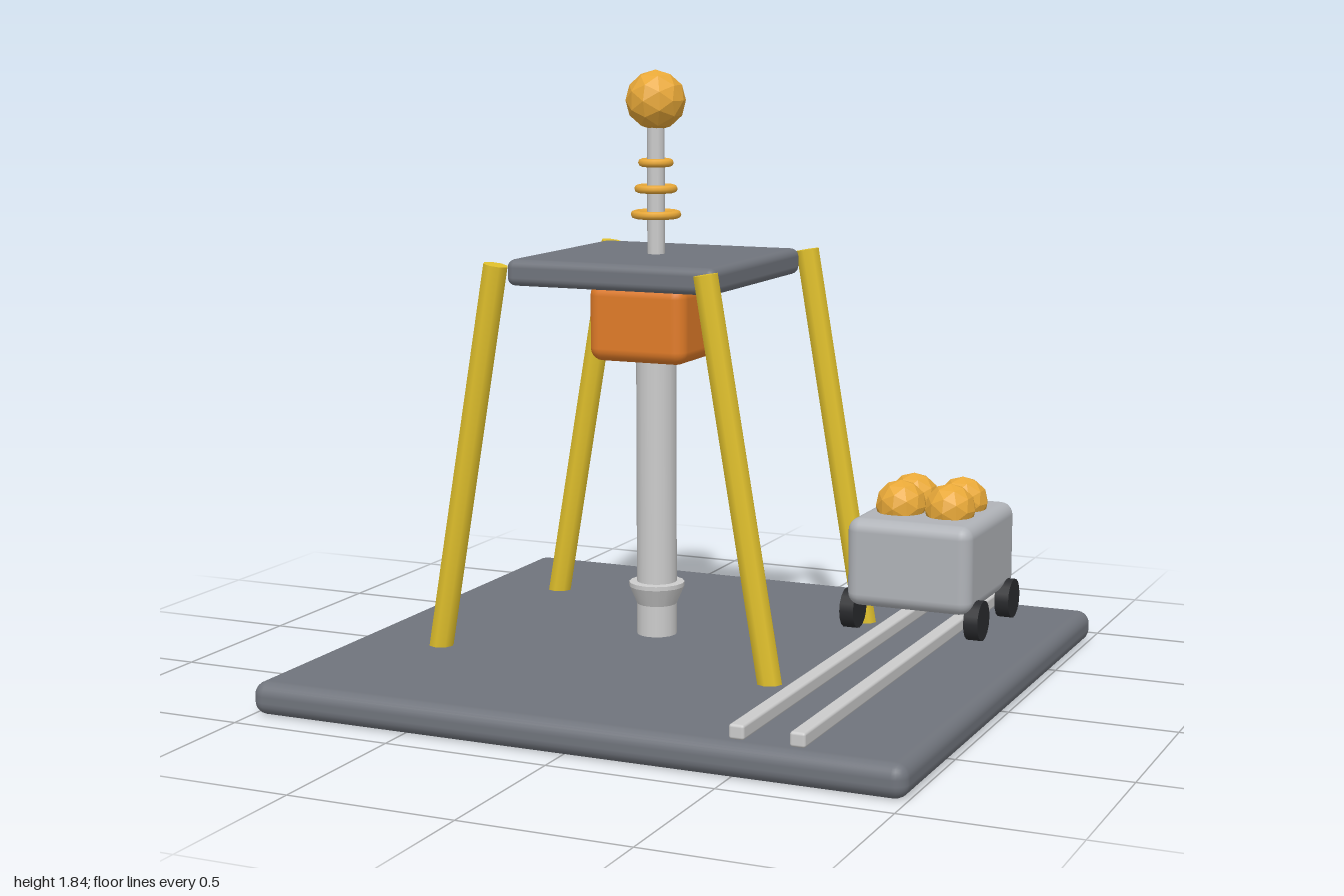
import * as THREE from 'three';
import { RoundedBoxGeometry } from 'three/addons/geometries/RoundedBoxGeometry.js';

const mat = (color, extra = {}) => {
  const m = new THREE.MeshStandardMaterial({ color });
  return Object.assign(m, extra);
};

export function createModel() {
  const model = new THREE.Group();
  const slate = mat(0x70747c), steel = mat(0xcccccc), cartGrey = mat(0xb0b3b8);
  const yellow = mat(0xe0c02c), orange = mat(0xe07b28), rubber = mat(0x2a2b2e);
  const gold = mat(0xe8a838), oreGold = mat(0xe8a838, { flatShading: true });

  const add = (name, geometry, material, x, y, z, parent = model) => {
    const mesh = new THREE.Mesh(geometry, material);
    mesh.name = name;
    mesh.position.set(x, y, z);
    parent.add(mesh);
    return mesh;
  };
  const box = (w, h, d, r) => new RoundedBoxGeometry(w, h, d, 3, r);

  // Ground slab
  add('base', box(2, 0.098, 1.84, 0.04), slate, 0, 0.049, 0);

  // Drilling tower, centred on its own axis
  const tower = new THREE.Group();
  tower.name = 'tower';
  tower.position.set(-0.163, 0, -0.08);
  model.add(tower);

  add('platform', box(0.68, 0.08, 0.68, 0.025), slate, 0, 1.245, 0, tower);
  add('motorHousing', box(0.32, 0.24, 0.32, 0.04), orange, 0, 1.085, 0, tower);

  // Leaning legs at the four corners
  const up = new THREE.Vector3(0, 1, 0);
  for (const sx of [-1, 1]) {
    for (const sz of [-1, 1]) {
      const foot = new THREE.Vector3(sx * 0.543, 0.09, sz * 0.4);
      const head = new THREE.Vector3(sx * 0.339, 1.275, sz * 0.4);
      const axis = head.clone().sub(foot);
      const mid = foot.clone().add(head).multiplyScalar(0.5);
      const leg = add('leg', new THREE.CylinderGeometry(0.038, 0.038, axis.length(), 8), yellow, mid.x, mid.y, mid.z, tower);
      leg.quaternion.setFromUnitVectors(up, axis.normalize());
    }
  }

  // Drill column with flared collar
  add('column', new THREE.CylinderGeometry(0.062, 0.062, 0.92, 16), steel, 0, 0.55, 0, tower);
  const collar = [[0.06, 0.19], [0.086, 0.25], [0.086, 0.25], [0.086, 0.263], [0.086, 0.263], [0.06, 0.265]];
  add('collar', new THREE.LatheGeometry(collar.map(([r, y]) => new THREE.Vector2(r, y)), 16), steel, 0, 0, 0, tower);

  // Antenna with shrinking rings and a ball on top
  add('antennaRod', new THREE.CylinderGeometry(0.027, 0.027, 0.44, 10), steel, 0, 1.48, 0, tower);
  [[1.405, 0.065], [1.483, 0.054], [1.562, 0.042]].forEach(([y, r]) => {
    const ring = add('antennaRing', new THREE.TorusGeometry(r, 0.0125, 8, 20), gold, 0, y, 0, tower);
    ring.rotation.x = Math.PI / 2;
  });
  add('antennaBall', new THREE.IcosahedronGeometry(0.092, 1), oreGold, 0, 1.75, 0, tower);

  // Track
  for (const x of [0.51, 0.685]) add('rail', box(0.045, 0.042, 1.76, 0.008), steel, x, 0.121, 0);

  // Ore cart
  const cart = new THREE.Group();
  cart.name = 'cart';
  cart.position.set(0.598, 0, -0.48);
  model.add(cart);
  add('cartBody', box(0.4, 0.275, 0.476, 0.04), cartGrey, 0, 0.34, 0, cart);
  for (const sx of [-1, 1]) {
    for (const sz of [-1, 1]) {
      const wheel = add('wheel', new THREE.CylinderGeometry(0.062, 0.062, 0.045, 16), rubber, sx * 0.2, 0.18, sz * 0.16, cart);
      wheel.rotation.z = Math.PI / 2;
      add('ore', new THREE.IcosahedronGeometry(0.08, 1), oreGold, sx * 0.08, 0.497, sz * 0.063, cart);
    }
  }
  return model;
}
